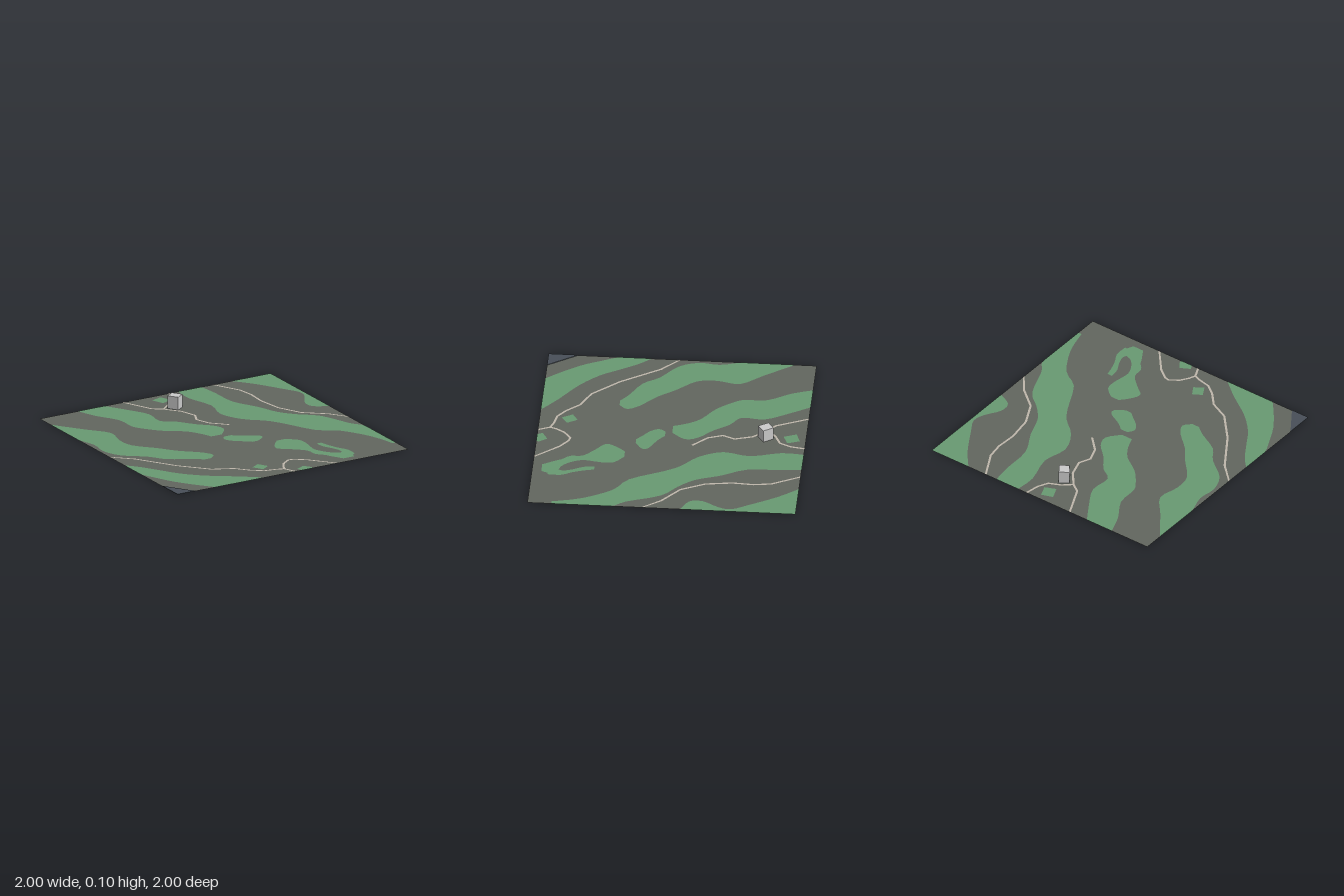
import * as THREE from 'three';

const material = (color) => new THREE.MeshStandardMaterial({ color, side: THREE.DoubleSide });
const green = material(0x689a72);
const paving = material(0xbfb7ab);

function add(group, name, geometry, mat, y = 0) {
  const mesh = new THREE.Mesh(geometry, mat);
  mesh.name = name;
  mesh.position.y = y;
  group.add(mesh);
  return mesh;
}

// Shape on the ground from [x, z] corners, cut off at the edge of the land
const clamp = (v) => THREE.MathUtils.clamp(v, -1, 1);
const outline = (points) => new THREE.Shape(points.map(([x, z]) => new THREE.Vector2(clamp(x), -clamp(z))));
const flat = (points) => new THREE.ShapeGeometry(outline(points)).rotateX(-Math.PI / 2);

// Wood between two smooth edges, from rows of [z, west x, east x]
function addWood(group, name, rows) {
  const edge = (side) => new THREE.SplineCurve(rows.map((r) => new THREE.Vector2(r[side], r[0])))
    .getPoints((rows.length - 1) * 3).map((p) => [p.x, p.y]);
  add(group, name, flat([...edge(1), ...edge(2).reverse()]), green, 0.001);
}

// Ribbon of constant width with mitred corners
function addRoad(group, name, points, width = 0.016) {
  const p = points.map(([x, z]) => new THREE.Vector2(x, z));
  const left = [], right = [];
  p.forEach((q, i) => {
    const a = q.clone().sub(p[Math.max(i - 1, 0)]).normalize();
    const b = p[Math.min(i + 1, p.length - 1)].clone().sub(q).normalize();
    const t = a.clone().add(b).normalize();
    const h = width / 2 / Math.max(0.5, t.dot(i === 0 ? b : a));
    left.push([q.x - t.y * h, q.y + t.x * h]);
    right.unshift([q.x + t.y * h, q.y - t.x * h]);
  });
  add(group, name, flat([...left, ...right]), paving, 0.002);
}

export function createModel() {
  const group = new THREE.Group();
  group.name = 'landscape';

  // Land
  add(group, 'ground', new THREE.PlaneGeometry(2, 2).rotateX(-Math.PI / 2), material(0x62665f));

  // Long bands of woodland
  addWood(group, 'westWood', [[-.84, -1, -1], [-.61, -1, -.83], [-.45, -1, -.71], [-.28, -.955, -.74],
    [-.13, -.97, -.72], [.02, -.91, -.59], [.15, -.75, -.49], [.27, -.66, -.36], [.36, -.5, -.31], [.42, -.42, -.36]]);
  addWood(group, 'southWestWood', [[.23, -1, -1], [.32, -1, -.92], [.46, -1, -.83], [.6, -.94, -.74],
    [.74, -.87, -.6], [.88, -.77, -.4], [1, -.67, -.25]]);
  addWood(group, 'centralWood', [[-1, -.67, -.44], [-.84, -.61, -.34], [-.67, -.51, -.25], [-.5, -.5, -.26],
    [-.42, -.46, -.16], [-.3, -.36, -.07], [-.2, -.22, .03], [-.1, -.15, .06], [0, -.11, -.02]]);
  addWood(group, 'eastWood', [[-1, .2, .4], [-.83, .19, .42], [-.6, .25, .43], [-.4, .21, .53], [-.22, .29, .6],
    [-.1, .42, .7], [.02, .5, .83], [.27, .63, .93], [.38, .78, 1], [.6, .91, 1], [.82, .97, 1]]);
  addWood(group, 'northEastWood', [[-1, .66, 1], [-.85, .78, 1], [-.65, .9, 1], [-.52, .97, 1], [-.42, .95, 1],
    [-.3, .88, 1], [-.2, .89, 1], [-.14, 1, 1]]);

  // Small groves, one with a hooked arm
  addWood(group, 'smallGrove', [[.05, -.03, .03], [.1, -.06, .09], [.16, -.03, .2], [.21, .03, .21], [.26, .09, .14]]);
  addWood(group, 'hookedGrove', [[.33, .26, .33], [.4, .2, .41], [.48, .17, .42], [.55, .25, .41], [.64, .34, .4],
    [.73, .35, .44], [.79, .4, .5], [.83, .42, .6], [.93, .48, .57]]);
  addWood(group, 'hookedGroveArm', [[.54, .48, .52], [.62, .49, .54], [.7, .53, .57], [.78, .55, .61], [.88, .5, .61]]);

  // Lawns beside the roads
  const lawns = [
    [[-.07, -.925], [.02, -.955], [.055, -.865], [-.03, -.83]],
    [[-.205, .755], [-.135, .715], [-.09, .79], [-.16, .835]],
    [[.06, .96], [.135, .92], [.175, .975], [.175, 1], [.08, 1]],
  ];
  lawns.forEach((points, i) => add(group, `lawn${i + 1}`, flat(points), green, 0.001));

  // Roads
  addRoad(group, 'northRoad', [[-.28, -1], [-.17, -.76], [-.1, -.71], [-.01, -.6], [.03, -.47], [-.01, -.38],
    [.03, -.27], [.14, -.16]]);
  addRoad(group, 'northBranch', [[.12, -1], [.1, -.89], [.06, -.81], [-.03, -.77], [-.1, -.71]]);
  addRoad(group, 'eastRoad', [[.5, -1], [.61, -.79], [.63, -.66], [.62, -.5], [.65, -.3], [.74, -.12], [.9, .01], [1, .14]]);
  addRoad(group, 'southWestRoad', [[-1, .02], [-.86, .15], [-.67, .44], [-.49, .64], [-.34, .71], [-.25, .81],
    [-.17, .87], [-.07, .89], [-.02, .91], [.02, 1]]);
  addRoad(group, 'southBranch', [[-.02, .91], [0, .86], [.04, .8], [.11, .75], [.15, .76], [.23, .82], [.38, 1]]);

  // Water in the front corner
  const corner = outline([[-1, .78], [-.85, 1], [-1, 1]]);
  const water = new THREE.ExtrudeGeometry(corner, { depth: 0.004, bevelEnabled: false }).rotateX(-Math.PI / 2);
  add(group, 'water', water, material(0x484f58));

  // Building
  const building = add(group, 'building', new THREE.BoxGeometry(0.079, 0.1, 0.087),
    new THREE.MeshStandardMaterial({ color: 0xcccccc }));
  building.position.set(-0.005, 0.05, -0.7);
  building.rotation.y = 0.6;

  return group;
}
